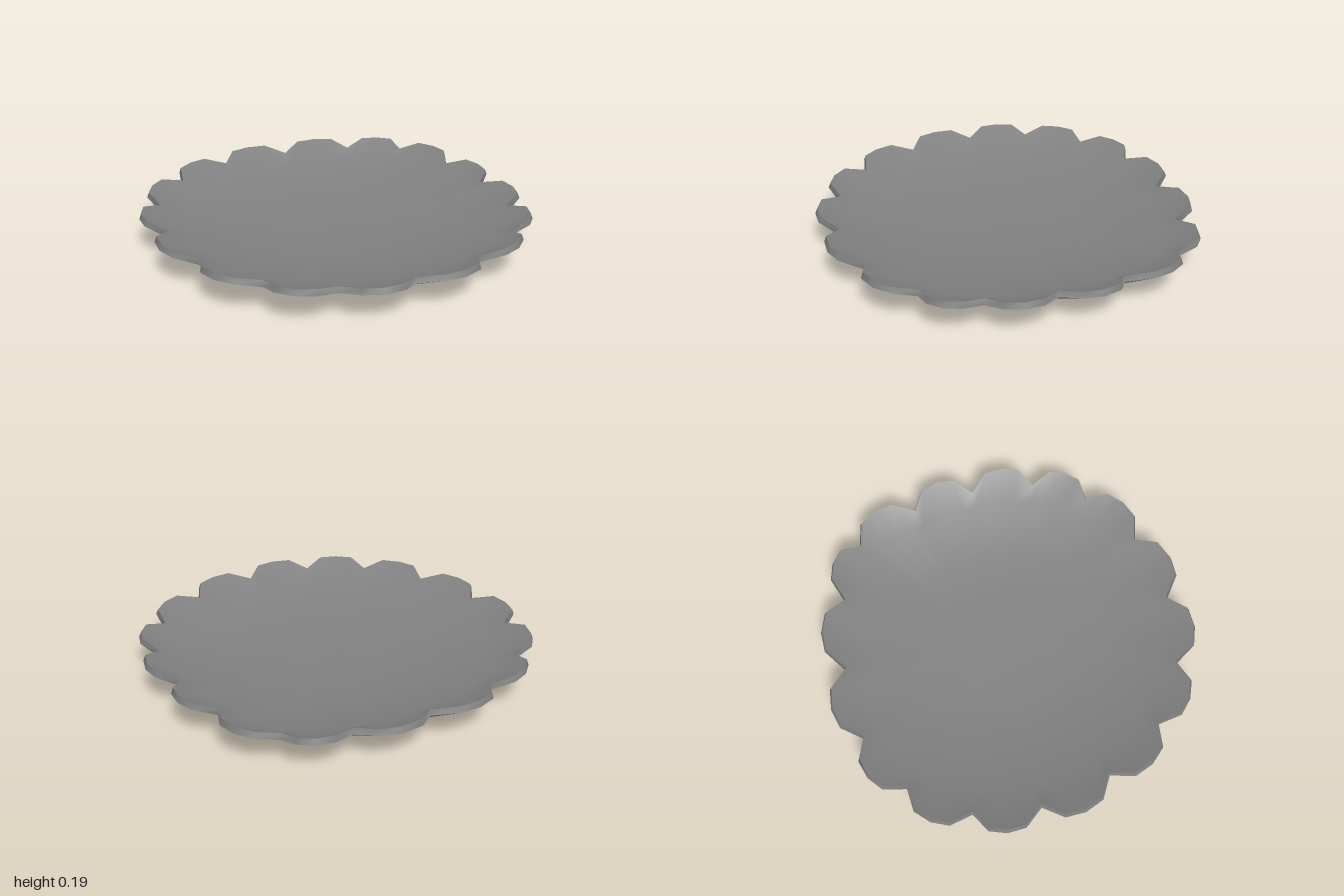
import * as THREE from 'three';

// Notches between the sixteen petals: angle from +x towards +z (degrees), radius
const NOTCHES = [
  [-89.3, 0.88], [-64.3, 0.92], [-45, 0.988], [-23.5, 0.927],
  [-2.2, 0.898], [19.3, 0.929], [38.5, 0.933], [61, 0.9],
  [85.7, 0.875], [109.9, 0.882], [132.7, 0.887], [157, 0.88],
  [181.6, 0.9], [203, 0.94], [224.6, 0.947], [246, 0.92],
];
const PETAL = [0, 0.083, 0.097, 0.083]; // outward bulge at each quarter of a petal
const STEPS = PETAL.length;
const COUNT = NOTCHES.length * STEPS;
const BASE = 0.9; // mean notch radius
const CENTRE = [0.012, -0.007]; // x and z of the foot and body

const material = new THREE.MeshStandardMaterial({ color: 0x808080 });

// Closed outline: the hand-made round shape scaled to a radius
function ring(radius, y) {
  return outline(CENTRE, (r) => [(r * radius) / BASE, y]);
}

// Scalloped outline: petals swell outwards, notches dip
function scallop(inset, yPetal, yNotch) {
  return outline([0, 0], (r, q) => [r + PETAL[q] - inset, q === 0 ? yNotch : yPetal]);
}

function outline([cx, cz], rule) {
  const points = [];
  NOTCHES.forEach(([a0, r0], i) => {
    const [aNext, r1] = NOTCHES[(i + 1) % NOTCHES.length];
    const a1 = aNext < a0 ? aNext + 360 : aNext;
    for (let q = 0; q < STEPS; q++) {
      const t = q / STEPS;
      const angle = THREE.MathUtils.degToRad(THREE.MathUtils.lerp(a0, a1, t));
      const [r, y] = rule(THREE.MathUtils.lerp(r0, r1, t), q);
      points.push(cx + r * Math.cos(angle), y, cz + r * Math.sin(angle));
    }
  });
  return points;
}

// Skin a smooth surface over successive outlines
function skin(name, rings) {
  const index = [];
  for (let i = 0; i < rings.length - 1; i++) {
    for (let j = 0; j < COUNT; j++) {
      const k = (j + 1) % COUNT;
      const a = i * COUNT + j, b = a + COUNT;
      const c = i * COUNT + k, d = c + COUNT;
      index.push(a, b, c, b, d, c);
    }
  }
  const geometry = new THREE.BufferGeometry();
  geometry.setAttribute('position', new THREE.Float32BufferAttribute(rings.flat(), 3));
  geometry.setIndex(index);
  geometry.computeVertexNormals();
  const mesh = new THREE.Mesh(geometry, material);
  mesh.name = name;
  return mesh;
}

export function createModel() {
  const group = new THREE.Group();
  group.name = 'scallopedPlate';

  const rimBottom = scallop(0, 0.165, 0.135);
  const rimTop = scallop(0.012, 0.194, 0.164);

  // Foot ring with its recessed floor
  const foot = new THREE.Group();
  foot.name = 'foot';
  foot.add(
    skin('recessFloor', [ring(0.001, 0.04), ring(0.39, 0.04)]),
    skin('footInnerWall', [ring(0.39, 0.04), ring(0.41, 0)]),
    skin('footBase', [ring(0.41, 0), ring(0.5, 0)]),
    skin('footOuterWall', [ring(0.5, 0), ring(0.5, 0.035)]),
  );

  // Dish: underside, scalloped edge and hollow upper face
  group.add(
    foot,
    skin('underside', [ring(0.5, 0.035), ring(0.82, 0.085), rimBottom]),
    skin('rimEdge', [rimBottom, rimTop]),
    skin('bowlInterior', [rimTop, ring(0.8, 0.114), ring(0.49, 0.066), ring(0.25, 0.06), ring(0.001, 0.058)]),
  );
  return group;
}
